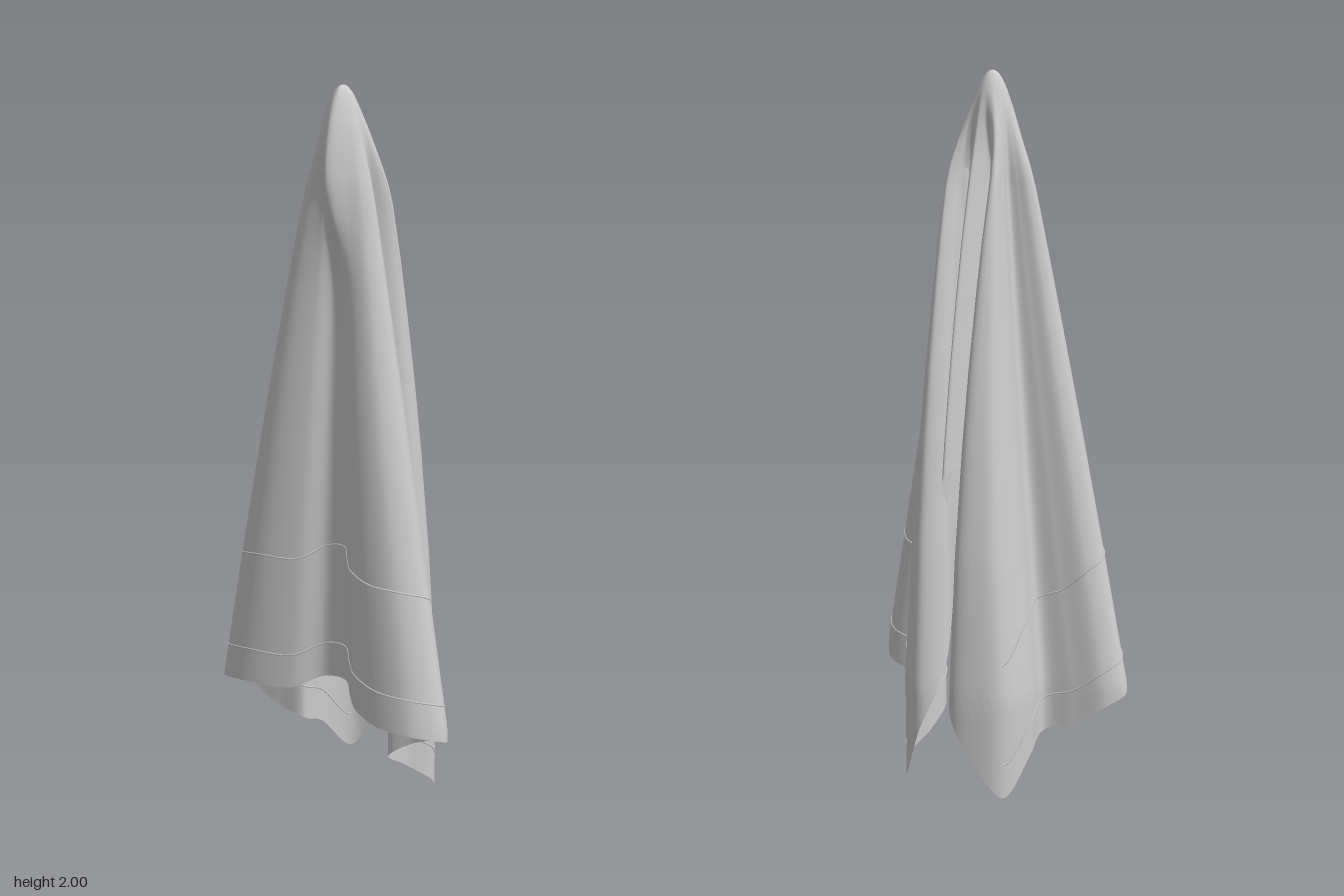
import * as THREE from 'three';

// Peak of the hanging cloth
const CX = -0.09, CZ = 0.02, TOP = 2;

// Folded outline of the cloth: x, height of the lower edge, z
const outlinePoints = [
  // front right corner, curling inwards
  [0.155, 0, 0.15], [0.185, 0.17, 0.08], [0.13, 0.35, 0.025], [0.02, 0.65, 0.06],
  // short inner fold
  [-0.03, 0.78, 0.06], [0.11, 0.81, 0.05], [0.19, 0.91, 0.02], [0.1, 0.93, -0.015],
  [-0.01, 0.88, -0.03], [0.03, 0.6, -0.06],
  // back right fold and corner
  [0.14, 0.4, -0.02], [0.21, 0.25, -0.045], [0.2, 0.12, -0.12], [0.16, 0.02, -0.19],
  [0.06, 0.12, -0.215], [-0.03, 0.16, -0.2],
  // back left fold
  [-0.06, 0.19, -0.28], [-0.09, 0.25, -0.37], [-0.14, 0.28, -0.405], [-0.2, 0.3, -0.36],
  [-0.21, 0.31, -0.27], [-0.16, 0.31, -0.13],
  // recessed side
  [-0.1, 0.35, -0.05], [-0.105, 0.36, 0.04], [-0.15, 0.34, 0.1],
  // front left fold
  [-0.2, 0.33, 0.17], [-0.21, 0.31, 0.26], [-0.18, 0.3, 0.36], [-0.11, 0.28, 0.405],
  [-0.05, 0.25, 0.36], [-0.05, 0.22, 0.26], [-0.07, 0.16, 0.17], [0.02, 0.1, 0.155],
  [0.1, 0.04, 0.18],
];
const COUNT = outlinePoints.length;
const outline = new THREE.CatmullRomCurve3(outlinePoints.map(p => new THREE.Vector3(...p)), true);

// Spread of the folds, sideways and front to back, at a given drop below the peak
const spreadX = [[0, 0], [0.1, 0.15], [0.25, 0.3], [0.45, 0.46], [0.6, 0.56], [0.8, 0.68], [1, 0.78], [1.3, 0.9], [1.7, 1], [3, 1]];
const spreadZ = [[0, 0], [0.1, 0.17], [0.25, 0.27], [1.7, 1], [3, 1]];
// Direction round the rounded peak for each place on the outline
const headings = [[0, 0.8], [0.2, 0], [0.38, -0.8], [0.52, -1.75], [0.66, -3.2], [0.82, -4.65], [1, 0.8 - 2 * Math.PI]];
function lookUp(table, x) {
  const i = Math.max(1, table.findIndex(s => s[0] >= x));
  const [x0, y0] = table[i - 1], [x1, y1] = table[i];
  return y0 + (y1 - y0) * (x - x0) / (x1 - x0);
}
const bell = (x, centre, width) => Math.exp(-(((x - centre) / width) ** 2));

// Point on the cloth: u runs round the folds, d is the drop below the peak
function clothPoint(u, d, p) {
  const w = THREE.MathUtils.smoothstep(d, 0.02, 0.33);
  const angle = lookUp(headings, u), r = 0.175 * Math.sqrt(d);
  // loose puff near the top of the recessed side
  const puff = 0.07 * bell(d, 0.28, 0.17) * bell(u, 23.5 / COUNT, 0.06);
  // the two right folds part in their upper half
  const n = u * COUNT, turn = n > COUNT / 2 + 3 ? n - COUNT : n;
  const lean = w * Math.max(0, 1 - d / 1.75) * (0.085 * bell(turn, 1.5, 3.2) - 0.05 * bell(turn, 11, 2));
  return new THREE.Vector3(
    CX + THREE.MathUtils.lerp(r * Math.cos(angle), (p.x - CX) * lookUp(spreadX, d), w) - puff,
    TOP - d,
    CZ + THREE.MathUtils.lerp(r * Math.sin(angle), (p.z - CZ) * lookUp(spreadZ, d), w) + lean);
}

function clothGeometry(cols = 340, rows = 90) {
  const positions = [], index = [];
  for (let j = 0; j <= rows; j++) {
    const t = (j / rows) ** 1.5;
    for (let i = 0; i < cols; i++) {
      const p = outline.getPoint(i / cols);
      positions.push(...clothPoint(i / cols, t * (TOP - Math.max(0, p.y)), p).toArray());
    }
  }
  for (let j = 0; j < rows; j++) {
    for (let i = 0; i < cols; i++) {
      const k = (i + 1) % cols;
      const a = j * cols + i, b = j * cols + k, c = a + cols, e = b + cols;
      index.push(a, c, e);
      if (j > 0) index.push(a, e, b);
    }
  }
  const g = new THREE.BufferGeometry();
  g.setAttribute('position', new THREE.Float32BufferAttribute(positions, 3));
  g.setIndex(index);
  g.computeVertexNormals();
  return g;
}

// Woven seam following the lower edge between two outline points
function seamGeometry(from, to, height) {
  const points = [];
  for (let i = 0; i <= 120; i++) {
    const u = (from + (to - from) * i / 120) / COUNT, p = outline.getPoint(u);
    points.push(clothPoint(u, TOP - p.y - height, p));
  }
  return new THREE.TubeGeometry(new THREE.CatmullRomCurve3(points), 240, 0.0025, 5);
}

export function createModel() {
  const group = new THREE.Group();
  group.name = 'hangingTowel';
  const material = new THREE.MeshStandardMaterial({ color: 0xcccccc, roughness: 0.9, side: THREE.DoubleSide });
  const add = (name, geometry) => {
    const mesh = new THREE.Mesh(geometry, material);
    mesh.name = name;
    group.add(mesh);
  };
  add('cloth', clothGeometry());
  for (const [name, height] of [['hemSeam', 0.1], ['bandSeam', 0.39]]) {
    add(name + 'Back', seamGeometry(13, 22, height));
    add(name + 'Front', seamGeometry(22, COUNT - 0.03, height));
  }
  return group;
}
